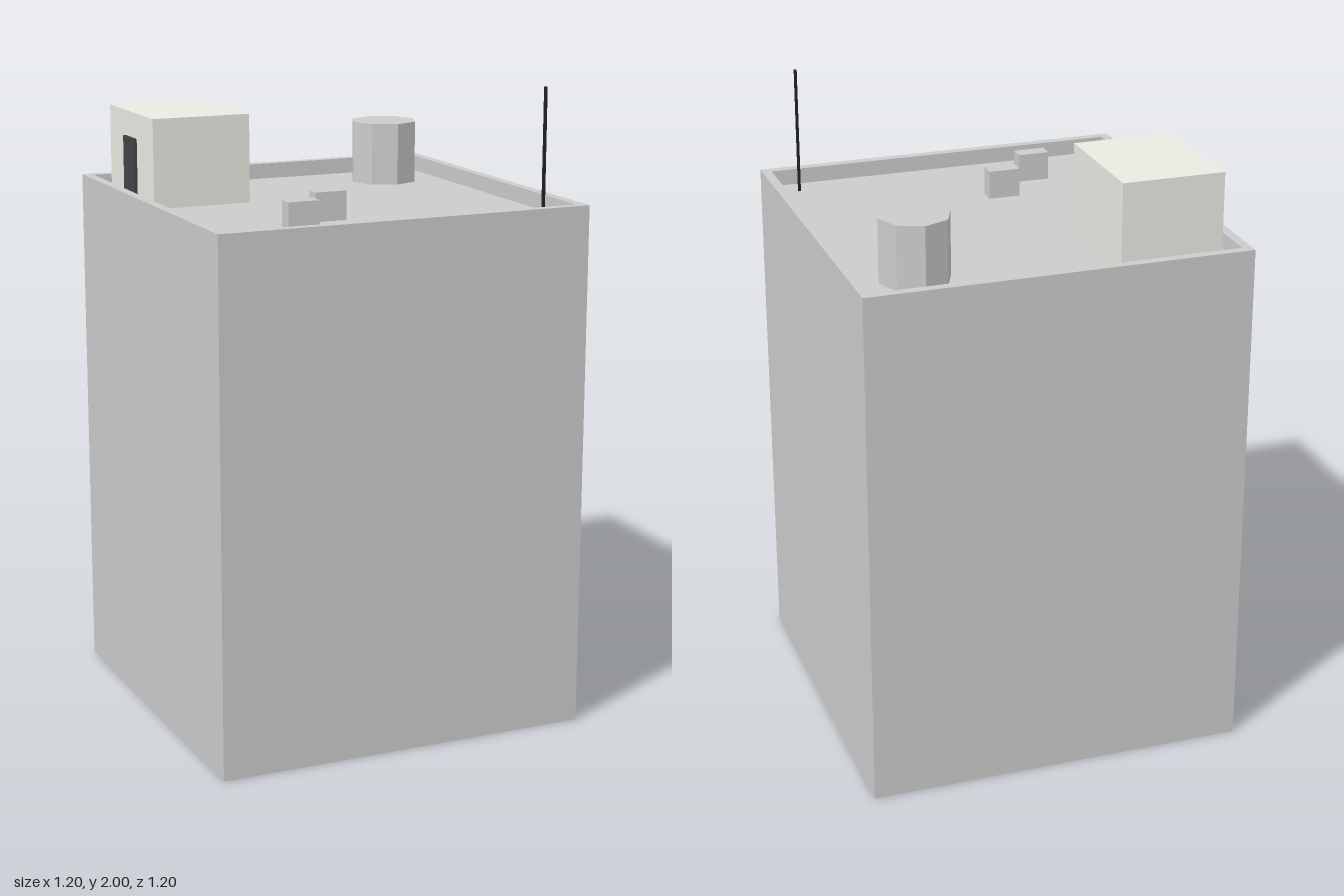
import * as THREE from 'three';

const HALF = 0.6, TOP = 1.65, LIP = 0.57, ROOF = 1.6;

const material = (color, side = THREE.FrontSide) =>
  new THREE.MeshStandardMaterial({ color, side, flatShading: true });

export function createModel() {
  const model = new THREE.Group();
  model.name = 'apartmentBlock';

  const grey = material(0xcccccc);
  const shell = material(0xcccccc, THREE.DoubleSide);
  const plaster = material(0xebe9e2);
  const doorDark = material(0x444448);
  const mastDark = material(0x222222);

  const add = (name, geometry, mat, x = 0, y = 0, z = 0) => {
    const mesh = new THREE.Mesh(geometry, mat);
    mesh.name = name;
    mesh.position.set(x, y, z);
    model.add(mesh);
    return mesh;
  };

  // Box standing on the roof deck
  const onRoof = (name, w, h, d, x, z, mat) =>
    add(name, new THREE.BoxGeometry(w, h, d), mat, x, ROOF + h / 2, z);

  // Outer walls, parapet top and inner parapet: one profile swept round a square, open below
  const profile = [[HALF, 0], [HALF, TOP], [LIP, TOP], [LIP, ROOF]]
    .map(([r, y]) => new THREE.Vector2(r * Math.SQRT2, y));
  const walls = new THREE.LatheGeometry(profile, 4, Math.PI / 4).toNonIndexed();
  walls.computeVertexNormals();
  add('wallsAndParapet', walls, shell);

  // Roof deck sunk behind the parapet
  add('roofDeck', new THREE.PlaneGeometry(LIP * 2, LIP * 2).rotateX(-Math.PI / 2), shell, 0, ROOF, 0);

  // Stair house with its door on the -x side
  onRoof('stairHouse', 0.32, 0.28, 0.4, -0.36, -0.34, plaster);
  onRoof('stairHouseDoor', 0.02, 0.2, 0.1, -0.52, -0.34, doorDark);

  // Eight-sided water tank
  add('waterTank', new THREE.CylinderGeometry(0.11, 0.11, 0.2, 8), grey, 0.38, ROOF + 0.1, -0.38);

  // Air conditioning units
  for (const [x, z] of [[-0.25, 0.38], [-0.105, 0.25]]) {
    onRoof('airUnit', 0.1, 0.09, 0.05, x, z, grey);
  }

  // Antenna mast
  onRoof('antenna', 0.008, 0.4, 0.008, 0.498, 0.498, mastDark);

  return model;
}
